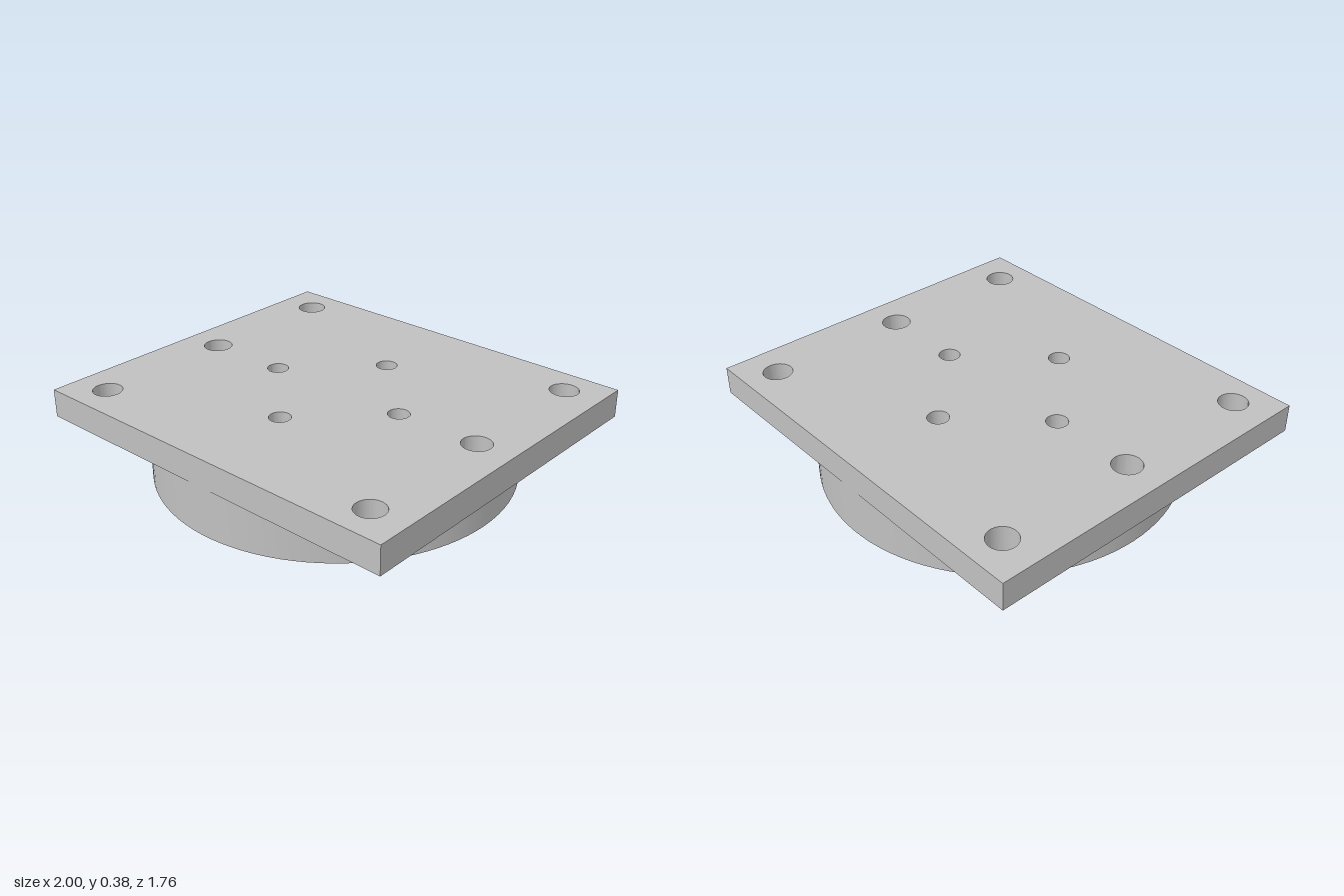
import * as THREE from 'three';
import { toCreasedNormals } from 'three/addons/utils/BufferGeometryUtils.js';

const DISC_RADIUS = 0.882;
const DISC_HEIGHT = 0.243;
const PLATE_THICKNESS = 0.14;
const BOLT_X = 0.809, BOLT_Z = 0.713, BOLT_RADIUS = 0.071;
const PIN_OFFSET = 0.38, PIN_RADIUS = 0.052;

function addHole(shape, x, z, radius) {
  const hole = new THREE.Path();
  hole.absarc(x, z, radius, 0, Math.PI * 2, true);
  shape.holes.push(hole);
}

// Holes that run through both the plate and the disc
function addSharedHoles(shape) {
  for (const s of [-1, 1]) {
    addHole(shape, s * PIN_OFFSET, 0, PIN_RADIUS);
    addHole(shape, 0, s * PIN_OFFSET, PIN_RADIUS);
    addHole(shape, s * BOLT_X, 0, BOLT_RADIUS);
  }
}

// Extrude a flat outline upwards, smooth around curves and sharp at rims
function slab(shape, height, y, material, name) {
  const geometry = new THREE.ExtrudeGeometry(shape, {
    depth: height, bevelEnabled: false, curveSegments: 48,
  });
  geometry.rotateX(-Math.PI / 2);
  const mesh = new THREE.Mesh(toCreasedNormals(geometry, 0.5), material);
  mesh.position.y = y;
  mesh.name = name;
  return mesh;
}

export function createModel() {
  const group = new THREE.Group();
  group.name = 'mountingFlange';
  const metal = new THREE.MeshStandardMaterial({ color: 0xc0c0c0 });
  metal.name = 'plain grey metal';

  // Round boss underneath
  const disc = new THREE.Shape();
  disc.absarc(0, 0, DISC_RADIUS, 0, Math.PI * 2, false);
  addSharedHoles(disc);
  group.add(slab(disc, DISC_HEIGHT, 0, metal, 'roundBoss'));

  // Rectangular plate on top, as deep as the boss is wide
  const plate = new THREE.Shape([
    new THREE.Vector2(-1, -DISC_RADIUS),
    new THREE.Vector2(1, -DISC_RADIUS),
    new THREE.Vector2(1, DISC_RADIUS),
    new THREE.Vector2(-1, DISC_RADIUS),
  ]);
  addSharedHoles(plate);
  for (const sx of [-1, 1]) {
    for (const sz of [-1, 1]) addHole(plate, sx * BOLT_X, sz * BOLT_Z, BOLT_RADIUS);
  }
  group.add(slab(plate, PLATE_THICKNESS, DISC_HEIGHT, metal, 'topPlate'));

  return group;
}
